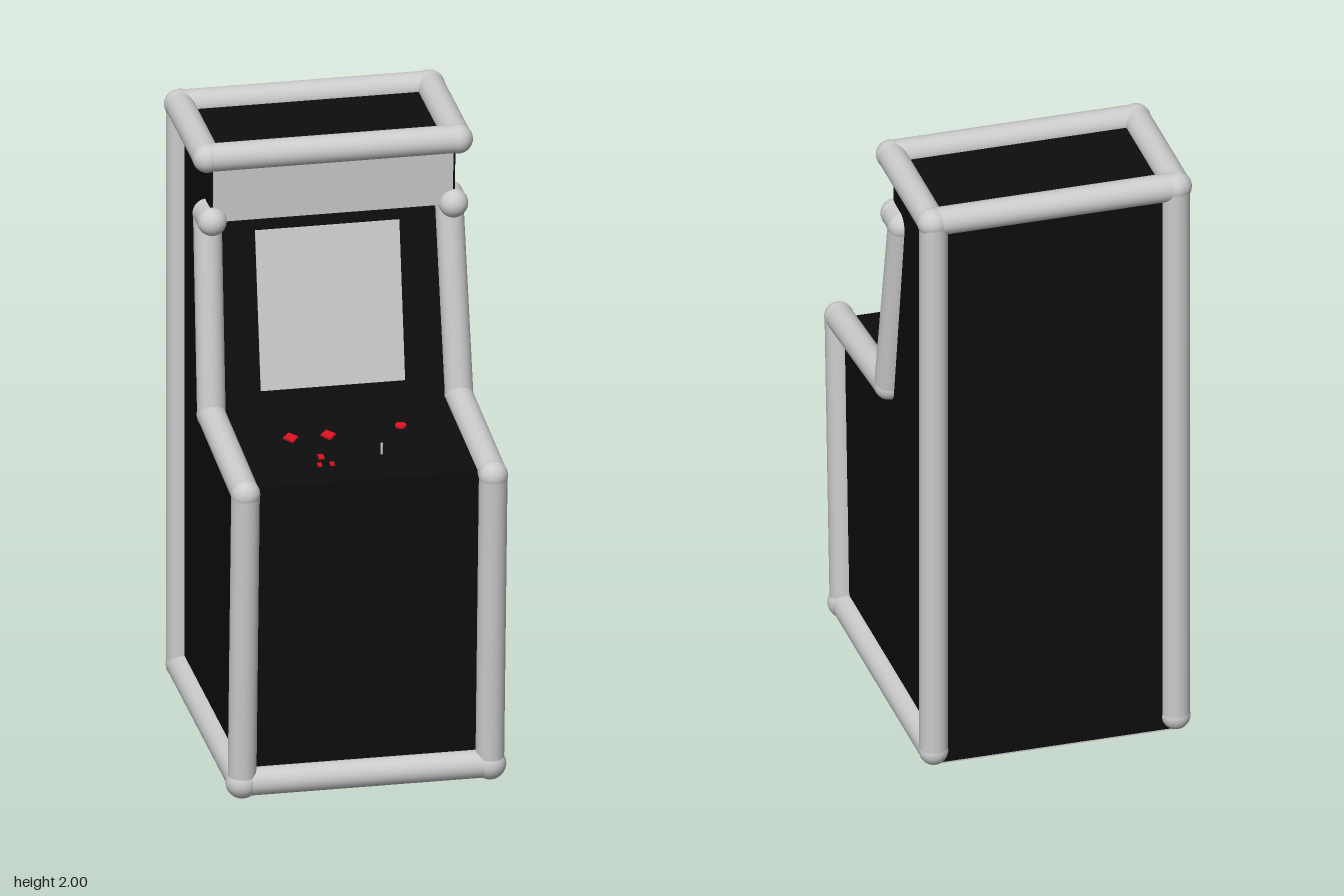
import * as THREE from 'three';

const grey = new THREE.MeshStandardMaterial({ color: 0xcccccc });
const black = new THREE.MeshStandardMaterial({ color: 0x0d0d0d });
const red = new THREE.MeshStandardMaterial({ color: 0xdd1122 });

const R = 0.045; // rail radius

function add(parent, name, geometry, material) {
  const mesh = new THREE.Mesh(geometry, material);
  mesh.name = name;
  parent.add(mesh);
  return mesh;
}

// Padded rail through the given points: straight rods with rounded joints
function rail(parent, name, points, joint = 0.049) {
  const group = new THREE.Group();
  group.name = name;
  const pts = points.map((p) => new THREE.Vector3(...p));
  pts.forEach((p, i) => {
    add(group, 'joint', new THREE.SphereGeometry(joint, 24, 16), grey).position.copy(p);
    if (i === 0) return;
    const dir = p.clone().sub(pts[i - 1]);
    const rod = add(group, 'rod', new THREE.CylinderGeometry(R, R, dir.length(), 24, 1, true), grey);
    rod.position.copy(p).add(pts[i - 1]).multiplyScalar(0.5);
    rod.quaternion.setFromUnitVectors(new THREE.Vector3(0, 1, 0), dir.normalize());
  });
  parent.add(group);
}

export function createModel() {
  const model = new THREE.Group();
  model.name = 'arcadeCabinet';

  // Cabinet body: side outline as (z, y), extruded across the width
  const outline = [
    [-0.52, 0.01], [0.445, 0.01], [0.495, 1.06], [-0.025, 1.1], [-0.14, 1.735],
    [-0.063, 1.735], [-0.055, 1.95], [-0.52, 1.95],
  ].map((p) => new THREE.Vector2(...p));
  const width = 0.78;
  const bodyGeo = new THREE.ExtrudeGeometry(new THREE.Shape(outline), { depth: width, bevelEnabled: false });
  bodyGeo.rotateY(-Math.PI / 2).translate(width / 2, 0, 0);
  add(model, 'body', bodyGeo, black);

  // Underside panel
  add(model, 'basePanel', new THREE.BoxGeometry(width, 0.008, 0.96), grey).position.set(0, 0.008, -0.038);

  // Screen, lying on the sloped face
  const slope = Math.atan2(0.115, 0.635);
  const screen = add(model, 'screen', new THREE.BoxGeometry(0.46, 0.515, 0.006), grey);
  screen.position.set(-0.005, 1.415, -0.081);
  screen.rotation.x = -slope;

  // Lit header panel
  const header = add(model, 'headerPanel', new THREE.BoxGeometry(0.765, 0.2, 0.008), grey);
  header.position.set(0, 1.836, -0.057);
  header.rotation.x = 0.037;

  // Side rails: sill, front, control deck, screen edge and forward hook
  for (const s of [-1, 1]) {
    rail(model, s > 0 ? 'leftSideRail' : 'rightSideRail', [
      [s * 0.395, 0.055, -0.515], [s * 0.395, 0.055, 0.465], [s * 0.395, 1.052, 0.52],
      [s * 0.395, 1.1, -0.022], [s * 0.385, 1.735, -0.136], [s * 0.385, 1.738, -0.062],
    ], 0.0465);
    rail(model, s > 0 ? 'leftBackRail' : 'rightBackRail', [
      [s * 0.395, 0.055, -0.515], [s * 0.395, 1.953, -0.515],
    ], 0.0465);
  }
  rail(model, 'frontBottomRail', [[-0.395, 0.055, 0.465], [0.395, 0.055, 0.465]], 0.052);
  rail(model, 'topRail', [
    [-0.4, 1.953, -0.064], [0.4, 1.953, -0.064], [0.4, 1.953, -0.512],
    [-0.4, 1.953, -0.512], [-0.4, 1.953, -0.064],
  ], 0.047);

  // Controls, placed in the plane of the sloped deck
  const deckTilt = Math.atan2(0.04, 0.52);
  function control(name, geometry, material, x, z, lift = 0) {
    const mesh = add(model, name, geometry, material);
    mesh.position.set(x, 1.06 + ((0.495 - z) * 0.04) / 0.52 + lift, z);
    mesh.rotation.x = deckTilt;
  }
  for (const x of [-0.183, -0.063]) {
    control('diamondButton', new THREE.CylinderGeometry(0.027, 0.027, 0.012, 4).scale(0.9, 1, 1.15), red, x, 0.18);
  }
  control('roundButton', new THREE.CylinderGeometry(0.018, 0.018, 0.014, 24), red, 0.173, 0.155);
  control('largeKey', new THREE.BoxGeometry(0.018, 0.012, 0.028), red, -0.115, 0.325);
  for (const x of [-0.13, -0.09]) {
    control('smallKey', new THREE.BoxGeometry(0.013, 0.012, 0.02), red, x, 0.377);
  }
  control('stickPlate', new THREE.BoxGeometry(0.052, 0.01, 0.066), black, 0.075, 0.342);
  control('stick', new THREE.CylinderGeometry(0.004, 0.004, 0.045, 10), grey, 0.075, 0.342, 0.02);

  return model;
}
